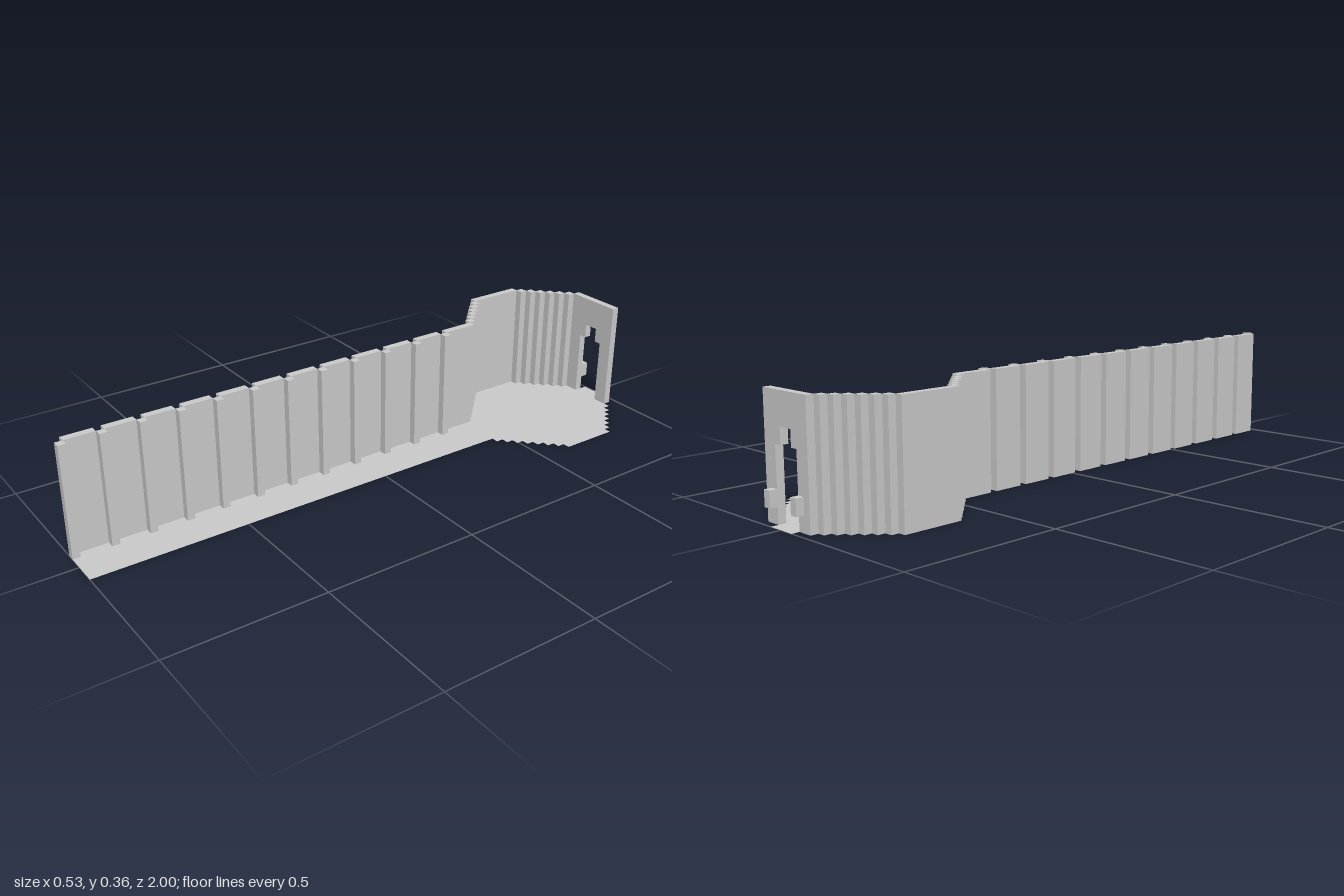
import * as THREE from 'three';

const U = 2 / 83;      // one block
const H = 15 * U;      // wall height
const zAt = (row) => 1 - row * U;   // rows run from the front to the back

// Outer edge of the passage wall, in blocks from the centre line, for each row
function wallEdge(row) {
  if (row < 60) return row % 5 === 0 ? 3 : 4;      // narrow pilasters step inwards
  if (row < 61) return 4;
  if (row < 67) return row - 56;                   // chamber widens
  if (row < 75) return 11;                         // chamber side
  if (row < 81) return 85 - row;                   // chamber narrows
  return 4;                                        // gate row
}

// Open edge of the floor on the other side
const openEdge = (row) => (row < 60 ? 3 : wallEdge(row));

export function createModel() {
  const group = new THREE.Group();
  const mat = new THREE.MeshStandardMaterial({ color: 0xcccccc, flatShading: true });
  const thin = new THREE.MeshStandardMaterial({ color: 0xcccccc, side: THREE.DoubleSide });

  const add = (name, geometry, material = mat) => {
    const mesh = new THREE.Mesh(geometry, material);
    mesh.name = name;
    group.add(mesh);
    return mesh;
  };
  // Box between block limits in x, y and rows
  const block = (name, x0, x1, y0, y1, r0, r1) =>
    add(name, new THREE.BoxGeometry((x1 - x0) * U, (y1 - y0) * U, (r1 - r0) * U))
      .position.set((x0 + x1) / 2 * U, (y0 + y1) / 2 * U, (zAt(r0) + zAt(r1)) / 2);

  // Flat floor with stepped edges and a threshold under the gate
  const outline = [];
  for (let r = 0; r < 82; r++) {
    const x = openEdge(r) * U;
    outline.push(new THREE.Vector2(x, -zAt(r)), new THREE.Vector2(x, -zAt(r + 1)));
  }
  outline.push(
    new THREE.Vector2(2 * U, -zAt(82)), new THREE.Vector2(2 * U, -zAt(83)),
    new THREE.Vector2(-2 * U, -zAt(83)), new THREE.Vector2(-2 * U, -zAt(82)));
  for (let r = 81; r >= 0; r--) {
    const x = -wallEdge(r) * U;
    outline.push(new THREE.Vector2(x, -zAt(r + 1)), new THREE.Vector2(x, -zAt(r)));
  }
  // drop repeated points
  const clean = outline.filter((p, i) => i === 0 || p.distanceTo(outline[i - 1]) > 1e-6);
  add('floor', new THREE.ShapeGeometry(new THREE.Shape(clean)).rotateX(-Math.PI / 2), thin);

  // Side wall: one box for every run of rows with the same offset
  for (let start = 0; start < 81;) {
    let end = start + 1;
    while (end < 81 && wallEdge(end) === wallEdge(start)) end++;
    const e = wallEdge(start);
    const name = e === 3 ? 'pilaster' : start < 60 ? 'passageWall' : 'chamberWall';
    block(name, -e, 1 - e, 0, 15, start, end);
    start = end;
  }

  // Gate wall with a stepped doorway
  const gate = new THREE.Shape([
    [-4, 0], [-2, 0], [-2, 9], [-1, 9], [-1, 11], [1, 11],
    [1, 9], [2, 9], [2, 0], [4, 0], [4, 15], [-4, 15],
  ].map(([x, y]) => new THREE.Vector2(x * U, y * U)));
  add('gateWall', new THREE.ExtrudeGeometry(gate, { depth: U, bevelEnabled: false }))
    .position.z = zAt(82);

  // Small blocks on the outside of the gate
  for (const s of [-1, 1]) block('gateBracket', s * 2.5 - 0.5, s * 2.5 + 0.5, 2, 4, 82, 83);

  return group;
}
